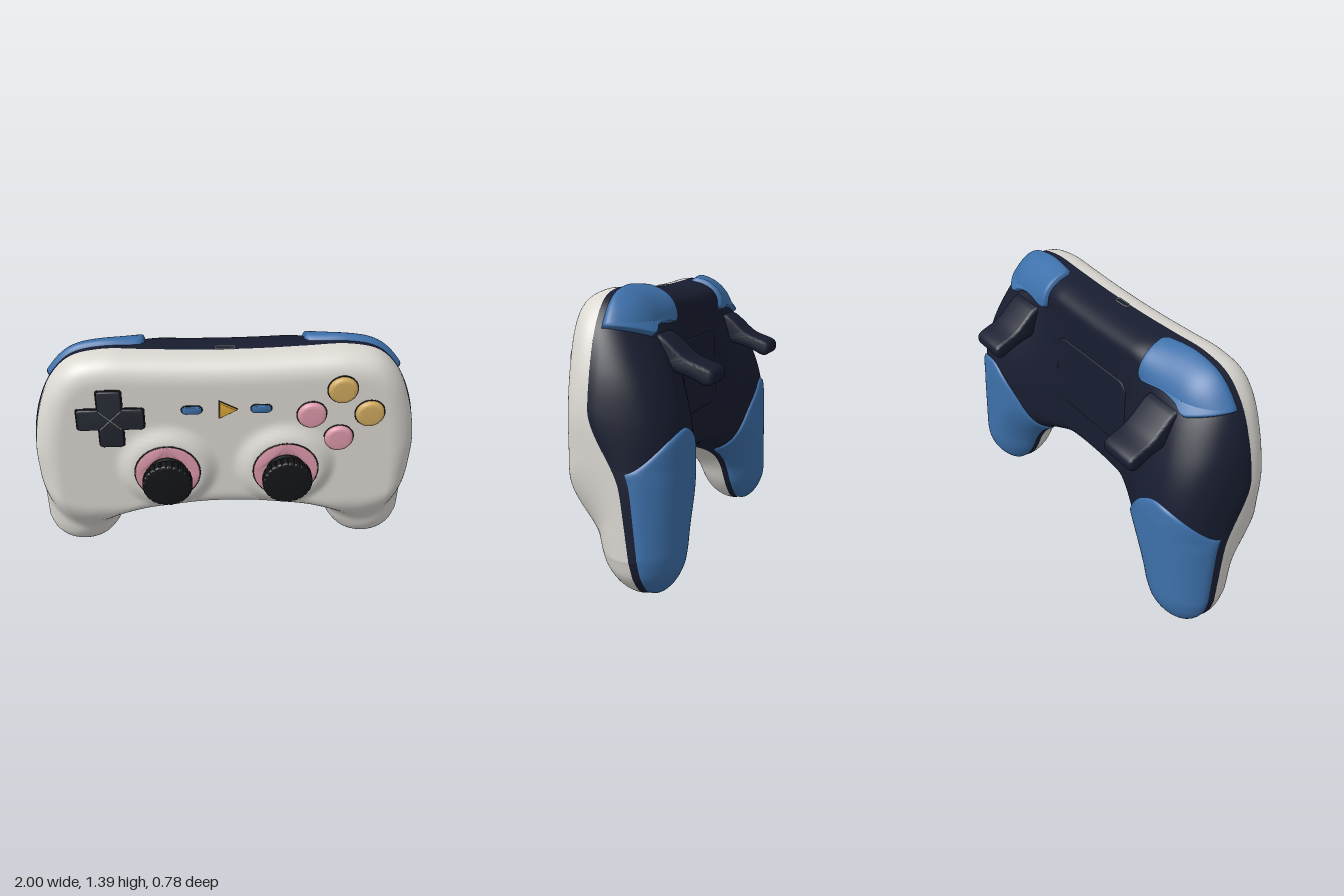
import * as THREE from 'three';
import { mergeVertices, toCreasedNormals } from 'three/addons/utils/BufferGeometryUtils.js';

const COL = { shell: 0xdbd8d2, navy: 0x181d30, blue: 0x3d70aa, pink: 0xdb98a9, gold: 0xcfa95f,
  amber: 0xdca73a, dark: 0x252932, black: 0x141518, metal: 0x9a9fa8 };
const { clamp, lerp } = THREE.MathUtils;
const smooth = (x, a, b) => { const t = clamp((x - a) / (b - a), 0, 1); return t * t * (3 - 2 * t); };

// Body outline: half profiles from the side of the grip to the middle, then mirrored
const mirrorCurve = half => new THREE.CatmullRomCurve3(
  [...half, ...half.slice(0, -1).reverse().map(([x, y]) => [-x, y])].map(([x, y]) => new THREE.Vector3(x, y, 0)));
const topCurve = mirrorCurve([[1, .2], [.994, .4], [.985, .65], [.97, .85], [.93, 1.05], [.855, 1.23],
  [.75, 1.335], [.6, 1.372], [.39, 1.366], [.2, 1.358], [0, 1.355]]);
const lowCurve = mirrorCurve([[1, .2], [.975, .11], [.9, .03], [.79, .004], [.68, .04], [.605, .13],
  [.555, .25], [.5, .33], [.42, .388], [.26, .435], [.13, .452], [0, .456]]);
const outline = [...topCurve.getPoints(240), ...lowCurve.getPoints(240).reverse()];

// Depth inside the outline, zero or less outside it
function edgeDistance(x, y) {
  let best = 1e9, inside = false;
  for (let i = 1; i < outline.length; i++) {
    const a = outline[i - 1], b = outline[i], dx = b.x - a.x, dy = b.y - a.y;
    const t = clamp(((x - a.x) * dx + (y - a.y) * dy) / (dx * dx + dy * dy + 1e-12), 0, 1);
    const ex = x - a.x - t * dx, ey = y - a.y - t * dy;
    best = Math.min(best, ex * ex + ey * ey);
    if ((a.y > y) !== (b.y > y) && x < a.x + dx * (y - a.y) / dy) inside = !inside;
  }
  return inside ? Math.sqrt(best) - .0004 : -Math.sqrt(best);
}
const rounding = (d, r, n) => Math.pow(1 - Math.pow(1 - clamp(d / r, 0, 1), n), 1 / n);
// Depth of the joint between the shells: level across the body, swept back along the grips
const seam = (ax, y) => .1 - smooth(ax, .22, .56) * (.155 * smooth(y, .88, .48) + .07 * clamp((.5 - y) / .5, 0, 1));

// Front face: flat plate with two stick mounds, stepping back to the grips
function frontPoint(x, y) {
  const ax = Math.abs(x), s = seam(ax, y);
  const grip = smooth(y - 2 * Math.max(0, ax - .7) ** 2, .5, .2) * smooth(ax, .3, .58);
  const mound = .04 * (1 - smooth(Math.hypot(ax - .3, y - .743), .17, .27));
  const h = lerp(.24, .055 + .2 * y, grip) + mound;
  const r = lerp(.13 + .04 * smooth(ax, .75, .95), .22, grip);
  return [x, y, s + (h - s) * rounding(edgeDistance(x, y), r, lerp(2.4, 2, grip))];
}
// Back face: shallow in the middle, with a deep lobe running down into each grip
function backPoint(x, y) {
  const ax = Math.abs(x), s = seam(ax, y), side = smooth(ax, .3, .6);
  const lobe = -.1 - .184 * Math.sin(clamp((1.22 - y) / .57, 0, 1) * Math.PI / 2);
  const b = lerp(-.11, lobe, smooth(ax, .2, .68));
  const p = rounding(edgeDistance(x, y), lerp(.1, .22, side), lerp(2.3, 2.05, side));
  const bulge = .03 * Math.sqrt(p) * smooth(ax, .75, .92) * Math.sin(Math.PI * clamp((y - .6) / .65, 0, 1));
  return [x + Math.sign(x) * bulge, y, s + (b - s) * p];
}

function surface(nu, nv, fn) {
  const pos = [], idx = [];
  for (let i = 0; i <= nu; i++) for (let j = 0; j <= nv; j++) pos.push(...fn(i / nu, j / nv));
  for (let i = 0; i < nu; i++) for (let j = 0; j < nv; j++) {
    const a = i * (nv + 1) + j, b = a + nv + 1;
    idx.push(a, b, a + 1, b, b + 1, a + 1);
  }
  let g = new THREE.BufferGeometry();
  g.setAttribute('position', new THREE.Float32BufferAttribute(pos, 3));
  g.setIndex(idx);
  g = mergeVertices(g, 1e-5);
  g.computeVertexNormals();
  return g;
}
const ease = t => (1 - Math.cos(Math.PI * t)) / 2;
const shell = point => surface(240, 64, (u, v) => {
  const s = (u + ease(u)) / 2;
  const p = topCurve.getPoint(s).lerp(lowCurve.getPoint(s), ease(v));
  return point(p.x, p.y);
});

// Thin raised skin on the back, covering the region around (cx, cy) where inside(x, y) > 0
function backSkin(cx, cy, inside, height, side = 1) {
  const n = 144, reach = [];
  for (let i = 0; i < n; i++) {
    const c = Math.cos(i / n * 2 * Math.PI), s = Math.sin(i / n * 2 * Math.PI);
    let lo = 0, hi = .02;
    while (inside(cx + c * hi, cy + s * hi) > 0) { lo = hi; hi += .02; }
    for (let k = 0; k < 14; k++) {
      const m = (lo + hi) / 2;
      if (inside(cx + c * m, cy + s * m) > 0) lo = m; else hi = m;
    }
    reach.push([c * lo, s * lo]);
  }
  const e = .001;
  return surface(n, 30, (u, v) => {
    const [rx, ry] = reach[Math.round(u * n) % n], t = Math.sin(v * Math.PI / 2);
    const x = cx + rx * t, y = cy + ry * t, p = backPoint(x, y);
    const gx = (backPoint(x + e, y)[2] - backPoint(x - e, y)[2]) / (2 * e);
    const gy = (backPoint(x, y + e)[2] - backPoint(x, y - e)[2]) / (2 * e);
    const k = (height * (1 - Math.pow(t, 60)) - .003 * Math.pow(t, 60)) / Math.hypot(gx, gy, 1);
    return [side * (p[0] + gx * k), p[1] + gy * k, p[2] - k];
  });
}
// Regions for the skins
const roundedMin = (r, ...d) => r - Math.hypot(...d.map(v => Math.max(r - v, 0)));
const panelArea = (x, y) => roundedMin(.06, .295 - Math.abs(x), .2 - Math.abs(y - .9));
const gripArea = (x, y) => Math.min(edgeDistance(x, y) - .003, .77 - y - 3.5 * (x - .76) ** 2);
const bumperArea = (x, y) => {
  const d = edgeDistance(x, y);
  return Math.min(d - .002, roundedMin(.035, .165 - d, x - .39, .3 * (.87 - x) + .95 * (y - 1.212)));
};

// Extruded plate between two depths with a rounded rim
function plate(shape, z0, z1, bevel) {
  const g = new THREE.ExtrudeGeometry(shape, { depth: z1 - z0 - 2 * bevel, bevelThickness: bevel, bevelSize: bevel,
    bevelOffset: -bevel, bevelSegments: 4, curveSegments: 16 });
  return toCreasedNormals(g.translate(0, 0, z0 + bevel), .6);
}
const poly = pts => new THREE.Shape(pts.map(([x, y]) => new THREE.Vector2(x, y)));
const circle = r => new THREE.Shape().absarc(0, 0, r, 0, Math.PI * 2);
const pill = (l, r) => new THREE.Shape().absarc(l, 0, r, -Math.PI / 2, Math.PI / 2).absarc(-l, 0, r, Math.PI / 2, Math.PI * 1.5);
// Cross with rounded arm ends
const cross = (l, w, r = .016) => {
  const pts = [];
  for (let q = 0; q < 4; q++) {
    const c = Math.round(Math.cos(q * Math.PI / 2)), s = Math.round(Math.sin(q * Math.PI / 2));
    for (const [x, y] of [[l - r, -w], [l - r * .3, -w + r * .3], [l, -w + r],
      [l, w - r], [l - r * .3, w - r * .3], [l - r, w], [w, w]]) pts.push([x * c - y * s, x * s + y * c]);
  }
  return poly(pts);
};

export function createModel() {
  const root = new THREE.Group();
  const add = (name, geo, color, x = 0, y = 0, z = 0, open = false) => {
    const m = new THREE.Mesh(geo, new THREE.MeshStandardMaterial({ color, side: open ? THREE.DoubleSide : THREE.FrontSide }));
    m.name = name;
    m.position.set(x, y, z);
    root.add(m);
  };

  add('frontShell', shell(frontPoint), COL.shell, 0, 0, 0, true);
  add('backShell', shell(backPoint), COL.navy, 0, 0, 0, true);
  add('backPanel', backSkin(0, .9, panelArea, .007), COL.navy, 0, 0, 0, true);

  // Paddle side profile as (-z, y)
  const paddle = new THREE.Shape();
  paddle.moveTo(.1, 1.18);
  paddle.lineTo(.142, 1.168);
  paddle.bezierCurveTo(.2, 1.13, .23, 1.08, .28, 1.058);
  paddle.bezierCurveTo(.34, 1.03, .392, 1.03, .39, .985);
  paddle.bezierCurveTo(.388, .945, .355, .935, .32, .957);
  paddle.bezierCurveTo(.27, .985, .22, 1.0, .1, 1.03);

  // Knurled stick cap outline
  const knurl = [];
  for (let i = 0; i < 120; i++) {
    const a = i / 120 * Math.PI * 2, r = i % 5 === 0 ? .12 : .125;
    knurl.push([r * Math.cos(a), r * Math.sin(a)]);
  }
  const ring = circle(.163);
  ring.holes.push(circle(.1));

  for (const s of [1, -1]) {
    const side = s > 0 ? 'left' : 'right';
    add(side + 'GripPad', backSkin(.77, .38, gripArea, .012, s), COL.blue, 0, 0, 0, true);
    add(side + 'Bumper', backSkin(.66, 1.275, bumperArea, .026, s), COL.blue, 0, 0, 0, true);
    add(side + 'Paddle', plate(paddle, -.105, .105, .02).rotateY(Math.PI / 2), COL.navy, s * .58);

    // Thumb stick on its mound
    const x = s * .3, y = .743;
    add(side + 'StickRim', plate(circle(.169), .265, .282, .003), COL.black, x, y);
    add(side + 'StickRing', plate(ring, .27, .285, .004), COL.pink, x, y);
    add(side + 'StickDome', new THREE.SphereGeometry(.1, 32, 16).scale(1, 1, .25), COL.black, x, y, .272);
    add(side + 'StickStem', new THREE.CylinderGeometry(.045, .05, .1, 32).rotateX(Math.PI / 2), COL.dark, x, y, .3);
    add(side + 'StickCap', plate(poly(knurl), .33, .392, .012), COL.black, x, y);

    // Small menu buttons
    add(side + 'MenuRim', plate(pill(.028, .026), .22, .2425, .001), COL.black, s * .17, 1.1);
    add(side + 'MenuButton', plate(pill(.028, .021), .22, .253, .005), COL.blue, s * .17, 1.1);
  }

  // Centre arrow button
  const arrow = k => poly([[-.034 * k, -.046 * k], [.05 * k, 0], [-.034 * k, .046 * k]]);
  add('arrowRim', plate(arrow(1.15), .22, .2425, .001), COL.black, 0, 1.1);
  add('arrowButton', plate(arrow(1), .22, .255, .004), COL.amber, 0, 1.1);

  // Round face buttons
  for (const [x, y, c] of [[.563, 1.2, COL.gold], [.707, 1.058, COL.gold], [.42, 1.058, COL.pink], [.563, .914, COL.pink]]) {
    add('buttonRim', plate(circle(.077), .22, .2425, .001), COL.black, x, y);
    add('faceButton', plate(circle(.072), .22, .268, .02), c, x, y);
  }

  // Direction pad with crossed grooves
  add('directionPadRim', plate(cross(.169, .065), .22, .2425, .001), COL.black, -.568, 1.058);
  add('directionPad', plate(cross(.163, .059), .22, .257, .008), COL.dark, -.568, 1.058);
  for (const a of [1, -1])
    add('directionPadLine', new THREE.BoxGeometry(.15, .004, .002).rotateZ(a * Math.PI / 4), COL.metal, -.568, 1.058, .257);

  // Charging port on the top edge
  const port = pill(.034, .016);
  port.holes.push(pill(.034, .011));
  add('chargePort', plate(port, -.02, .006, .001).rotateX(-Math.PI / 2), COL.metal, 0, 1.354, .085);
  return root;
}
